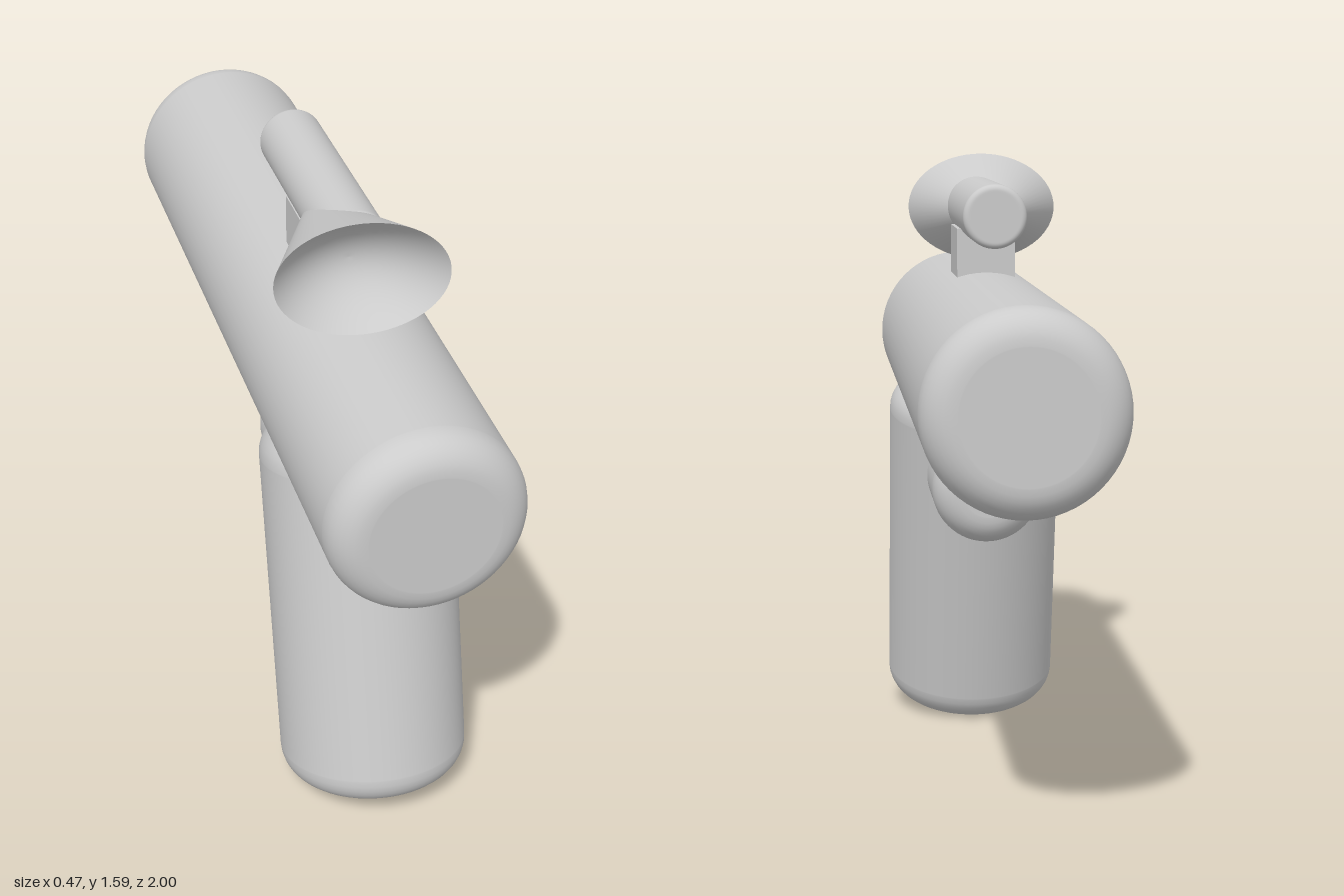
import * as THREE from 'three';

const material = new THREE.MeshStandardMaterial({ color: 0xcccccc });

// Cylinder along y, centred, with rounded rims
function roundedCylinder(radius, length, bevel) {
  const h = length / 2, e = 0.003, steps = 8;
  const half = [];
  for (let i = 0; i <= steps; i++) {
    const a = (i / steps) * Math.PI / 2;
    half.push([radius - bevel + bevel * Math.sin(a), h - bevel + bevel * Math.cos(a)]);
  }
  // extra points hold the flat cap and the straight wall
  const top = [[0, h], [radius - bevel - e, h], ...half, [radius, h - bevel - e]];
  const bottom = top.map(([x, y]) => [x, -y]);
  const profile = [...bottom, ...top.reverse()].map(([x, y]) => new THREE.Vector2(x, y));
  return new THREE.LatheGeometry(profile, 64);
}

export function createModel() {
  const model = new THREE.Group();

  function add(name, geometry, position, tilt = 0) {
    const mesh = new THREE.Mesh(geometry, material);
    mesh.name = name;
    mesh.position.set(...position);
    mesh.rotation.x = tilt;
    model.add(mesh);
    return mesh;
  }

  // Main body and handle
  add('barrel', roundedCylinder(0.235, 2, 0.08), [0, 1.062, 0], Math.PI / 2 + 0.0065);
  add('grip', roundedCylinder(0.236, 0.96, 0.08), [0, 0.504, 0.49], -0.228);
  add('trigger', roundedCylinder(0.143, 0.385, 0.075), [0, 0.732, 0.147], Math.PI / 2);

  // Sight on top
  add('sightMount', new THREE.BoxGeometry(0.15, 0.17, 0.225), [0, 1.325, 0.155]);
  add('sightTube', roundedCylinder(0.08, 0.575, 0.015), [-0.003, 1.452, 0.1025], Math.PI / 2);

  // Flared oval horn with a hollow front, slightly skewed to one side
  const rimZ = 0.425;
  const place = new THREE.Matrix4().set(
    0.203, 0, 0, -0.03,
    0, 0.147, 0, 1.443,
    0.02, 0.006, 1, 0.11,
    0, 0, 0, 1
  );
  const hornPart = (name, points) => {
    const g = new THREE.LatheGeometry(points.map(p => new THREE.Vector2(...p)), 64);
    g.rotateX(Math.PI / 2).applyMatrix4(place);
    add(name, g, [0, 0, 0]);
  };
  hornPart('hornShell', [[0, 0], [0.5, rimZ / 2], [1, rimZ]]);
  const dish = [];
  for (let i = 0; i <= 10; i++) {
    const r = 1 - i / 10;
    dish.push([r, rimZ - 0.11 * (1 - r * r)]);
  }
  hornPart('hornDish', dish);

  return model;
}
